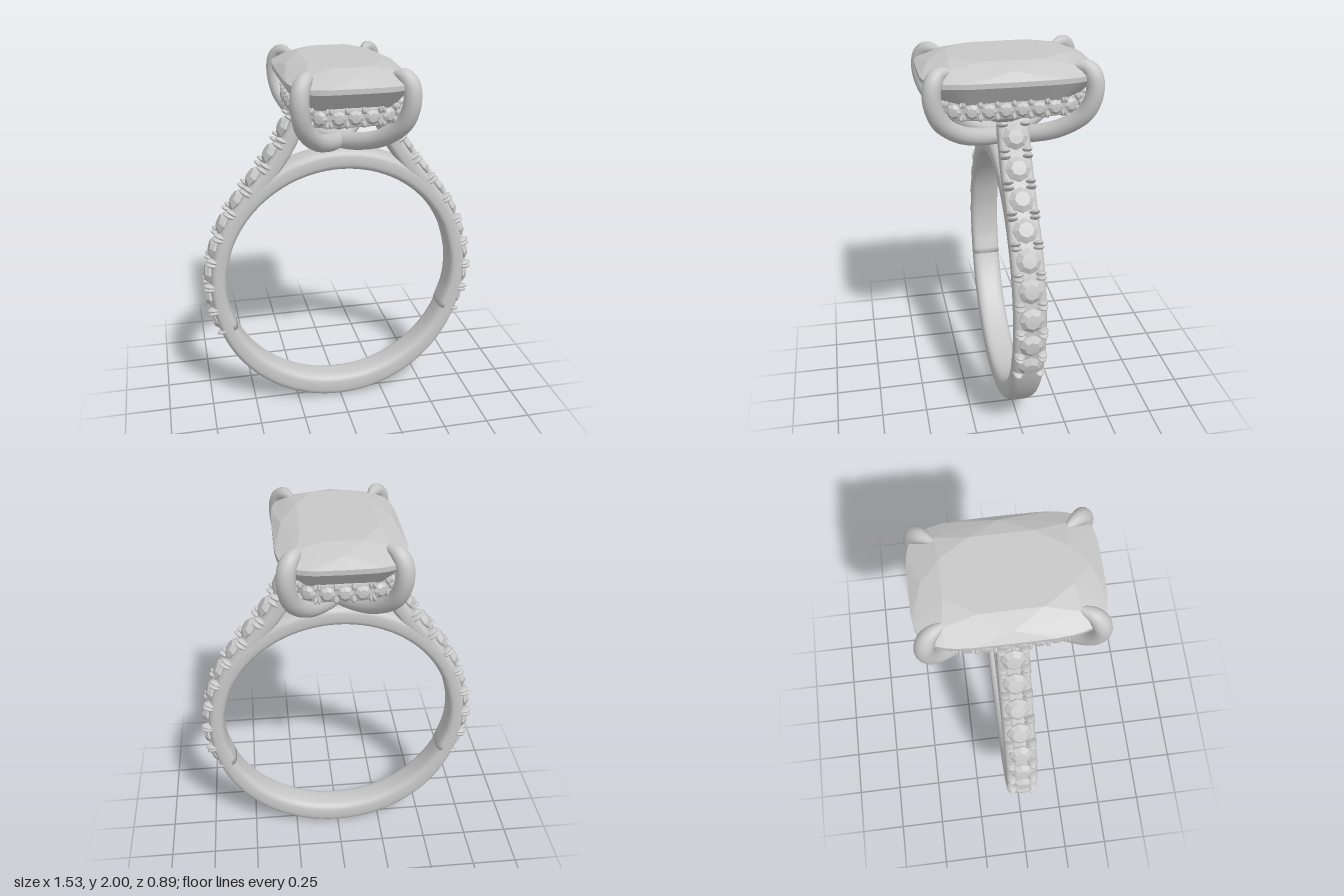
import * as THREE from 'three';
import { ConvexGeometry } from 'three/addons/geometries/ConvexGeometry.js';

const V = (x, y, z) => new THREE.Vector3(x, y, z);
const TAU = Math.PI * 2;

// point on a superellipse (rounded rectangle) with half sizes a, b
function squircle(a, b, n, ang) {
  const c = Math.cos(ang), s = Math.sin(ang);
  return [a * Math.sign(c) * Math.abs(c) ** (2 / n), b * Math.sign(s) * Math.abs(s) ** (2 / n)];
}

// skin a list of cross-section loops; open lofts are capped at both ends
function loft(rings, closed) {
  if (!closed) {
    const cap = (r) => {
      const c = r.reduce((s, p) => s.add(p), V(0, 0, 0)).divideScalar(r.length);
      return r.map(() => c);
    };
    rings = [cap(rings[0]), ...rings, cap(rings[rings.length - 1])];
  }
  const m = rings[0].length, n = rings.length, pts = rings.flat(), tris = [];
  for (let i = 0; i < (closed ? n : n - 1); i++) {
    for (let j = 0; j < m; j++) {
      const a = i * m + j, b = i * m + (j + 1) % m;
      const c = ((i + 1) % n) * m + j, d = ((i + 1) % n) * m + (j + 1) % m;
      tris.push([a, b, c], [b, d, c]);
    }
  }
  // make the faces point outward
  let vol = 0;
  for (const [a, b, c] of tris) vol += pts[a].dot(pts[b].clone().cross(pts[c]));
  const g = new THREE.BufferGeometry().setFromPoints(pts);
  g.setIndex(tris.flatMap(([a, b, c]) => (vol > 0 ? [a, b, c] : [a, c, b])));
  g.computeVertexNormals();
  return g;
}

export function createModel() {
  const silver = new THREE.MeshStandardMaterial({ color: 0xc8c8c8 });
  silver.name = 'silver grey';
  const model = new THREE.Group();
  model.name = 'ring';
  const add = (parent, geo, name) => {
    const mesh = new THREE.Mesh(geo, silver);
    mesh.name = name;
    parent.add(mesh);
    return mesh;
  };

  // finger band: thicker at the bottom, thinner below the stone-set sides
  const inner = 0.635, bandRings = [];
  for (let i = 0; i < 96; i++) {
    const a = (i / 96) * TAU, s = Math.sin(a);
    const outer = 0.725 + 0.045 * Math.max(0, -s) ** 1.5 + 0.025 * Math.max(0, s) ** 2;
    const mid = (inner + outer) / 2, ring = [];
    for (let j = 0; j < 28; j++) {
      const [u, w] = squircle((outer - inner) / 2, 0.083, 3.2, (j / 28) * TAU);
      ring.push(V((mid + u) * Math.cos(a), 0.77 + (mid + u) * s, w));
    }
    bandRings.push(ring);
  }
  add(model, loft(bandRings, true), 'band');

  // small cut stone held by four claws, local y pointing outward
  const gemGeo = new THREE.LatheGeometry(
    [[0, -0.045], [0.064, -0.006], [0.064, 0.002], [0.038, 0.024], [0, 0.026]]
      .map(([x, y]) => new THREE.Vector2(x, y)), 8).toNonIndexed();
  gemGeo.computeVertexNormals();
  const clawGeo = new THREE.SphereGeometry(1, 10, 8);
  function setStone(parent, pos, along, out, scale, name) {
    const g = new THREE.Group();
    g.name = name;
    g.matrix.makeBasis(along, out, along.clone().cross(out)).setPosition(pos);
    g.matrix.decompose(g.position, g.quaternion, g.scale);
    g.scale.setScalar(scale);
    add(g, gemGeo, 'smallStone');
    for (const x of [-1, 1]) for (const z of [-1, 1]) {
      const claw = add(g, clawGeo, 'smallClaw');
      claw.position.set(x * 0.063, -0.014, z * 0.056);
      claw.scale.set(0.013, 0.042, 0.028);
    }
    parent.add(g);
  }

  // shoulders rising from the band to the head, each with nine stones
  const edge = new THREE.CatmullRomCurve3([
    [0.70, 0.49], [0.745, 0.64], [0.757, 0.8], [0.725, 0.98], [0.655, 1.16],
    [0.555, 1.31], [0.455, 1.44], [0.365, 1.57], [0.3, 1.7], [0.275, 1.76],
  ].map(([x, y]) => V(x, y, 0)));
  const frame = (t) => {
    const p = edge.getPointAt(t), tan = edge.getTangentAt(t);
    return { p, tan, out: V(tan.y, -tan.x, 0) };
  };
  for (const side of [0, 1]) {
    const shoulder = new THREE.Group();
    shoulder.name = side ? 'rightShoulder' : 'leftShoulder';
    shoulder.rotation.y = side * Math.PI;
    const rings = [];
    for (let i = 0; i <= 48; i++) {
      const { p, out } = frame((i / 48) * 0.975);
      const ring = [];
      for (let j = 0; j < 24; j++) {
        const [u, w] = squircle(0.043, 0.081, 3.5, (j / 24) * TAU);
        ring.push(p.clone().addScaledVector(out, u - 0.078).setZ(w));
      }
      rings.push(ring);
    }
    add(shoulder, loft(rings, false), 'shoulderRail');
    for (let i = 0; i < 9; i++) {
      const { p, tan, out } = frame(0.05 + 0.109 * i);
      setStone(shoulder, p.addScaledVector(out, -0.026), tan.negate(), out, 1, 'shoulderStone');
    }
    model.add(shoulder);
  }

  // hidden halo under the main stone
  const haloY = 1.775, outline = [];
  for (let i = 0; i < 120; i++) {
    const [z, x] = squircle(0.36, 0.243, 4, (i / 120) * TAU);
    outline.push(V(x, haloY, z));
  }
  const haloCurve = new THREE.CatmullRomCurve3(outline, true);
  haloCurve.arcLengthDivisions = 1200;
  const haloFrame = (t) => {
    const p = haloCurve.getPointAt(t), tan = haloCurve.getTangentAt(t).setY(0).normalize();
    return { p, tan, out: V(-tan.z, 0, tan.x).multiplyScalar(-tan.z * p.x + tan.x * p.z > 0 ? 1 : -1) };
  };
  const haloRings = [];
  for (let i = 0; i < 104; i++) {
    const { p, out } = haloFrame(i / 104);
    const ring = [];
    for (let j = 0; j < 16; j++) {
      const [u, w] = squircle(0.016, 0.05, 4, (j / 16) * TAU);
      ring.push(p.clone().addScaledVector(out, u).add(V(0, w, 0)));
    }
    haloRings.push(ring);
  }
  const halo = new THREE.Group();
  halo.name = 'halo';
  add(halo, loft(haloRings, true), 'haloRail');
  for (let i = 0; i < 26; i++) {
    const { p, tan, out } = haloFrame(i / 26);
    setStone(halo, p.addScaledVector(out, 0.024), tan, out, 0.6, 'haloStone');
  }
  model.add(halo);

  // main cushion-cut stone: table, crown, girdle, pavilion and point
  const stone = [V(0, 1.61, 0)];
  const level = (count, shift, a, b, n, y) => {
    for (let i = 0; i < count; i++) {
      const [x, z] = squircle(a, b, n, ((i + shift) / count) * TAU);
      stone.push(V(x, y, z));
    }
  };
  level(8, 0.5, 0.2, 0.31, 2.6, 2.0);
  level(8, 0, 0.275, 0.385, 3.2, 1.972);
  level(40, 0, 0.318, 0.444, 4.3, 1.93);
  level(40, 0, 0.318, 0.444, 4.3, 1.905);
  level(8, 0.5, 0.225, 0.325, 4, 1.755);
  add(model, new ConvexGeometry(stone), 'mainStone');

  // two crossed U-shaped wires whose tapered ends grip the stone corners
  const half = [[0.2, 1.965, 0.3], [0.243, 1.962, 0.365], [0.268, 1.92, 0.394], [0.274, 1.84, 0.4],
    [0.25, 1.73, 0.362], [0.17, 1.63, 0.25], [0.07, 1.575, 0.105]];
  for (const side of [1, -1]) {
    const path = new THREE.CatmullRomCurve3([
      ...half.map(([x, y, z]) => V(x * side, y, z)),
      V(0, 1.562, 0),
      ...half.slice().reverse().map(([x, y, z]) => V(-x * side, y, -z)),
    ]);
    const segs = 120, sides = 16;
    const tube = new THREE.TubeGeometry(path, segs, 0.046, sides, false);
    const pos = tube.attributes.position, v = V(0, 0, 0);
    for (let i = 0; i <= segs; i++) {
      const t = i / segs, c = path.getPointAt(t);
      const s = Math.sqrt(Math.min(1, Math.min(t, 1 - t) / 0.07));
      for (let j = 0; j <= sides; j++) {
        const k = i * (sides + 1) + j;
        v.fromBufferAttribute(pos, k).sub(c).multiplyScalar(s).add(c);
        pos.setXYZ(k, v.x, v.y, v.z);
      }
    }
    add(model, tube, side > 0 ? 'prongWireA' : 'prongWireB');
  }
  return model;
}
